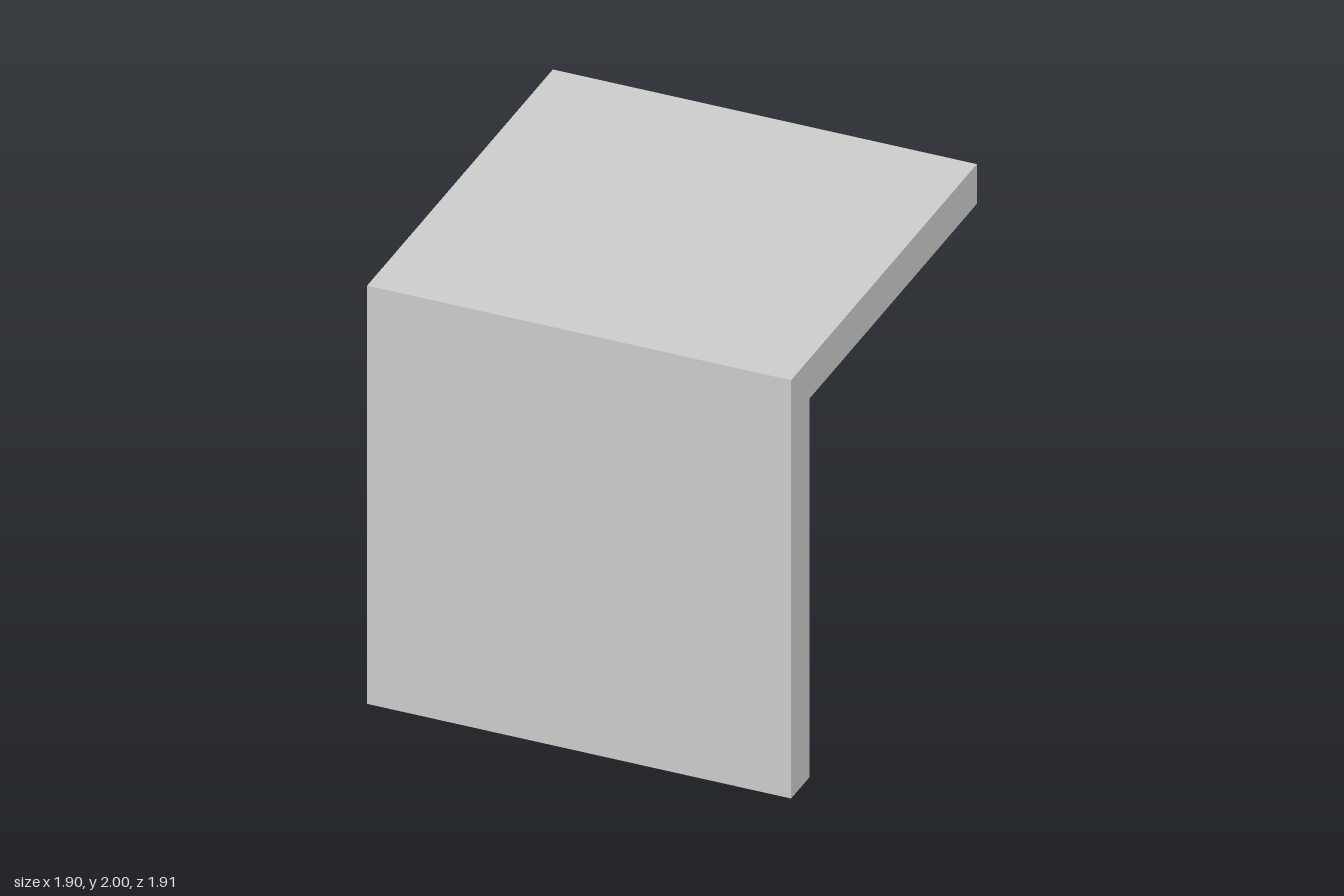
import * as THREE from 'three';

export function createModel() {
  const group = new THREE.Group();
  const lightGrey = new THREE.MeshStandardMaterial({ color: 0xcbcbcb });
  lightGrey.name = 'light grey';
  const darkGrey = new THREE.MeshStandardMaterial({ color: 0x848484 });
  darkGrey.name = 'dark grey';

  const half = 0.952, height = 2, thick = 0.19;

  // L-shaped shell: front panel and top slab in one piece (profile x becomes -z)
  const profile = new THREE.Shape();
  [
    [-half, 0], [-half + thick, 0], [-half + thick, height - thick],
    [half, height - thick], [half, height], [-half, height],
  ].forEach(([x, y], i) => (i ? profile.lineTo(x, y) : profile.moveTo(x, y)));
  profile.closePath();
  const shellGeometry = new THREE.ExtrudeGeometry(profile, { depth: 2 * half, bevelEnabled: false });
  shellGeometry.translate(0, 0, -half).rotateY(Math.PI / 2);
  const shell = new THREE.Mesh(shellGeometry, lightGrey);
  shell.name = 'frontPanelAndTop';
  group.add(shell);

  // Cabinet under the top, flush with the model's right side and a hair proud at the back
  const left = 0.19, back = -half - 0.003, front = half - thick;
  const cabinet = new THREE.Mesh(
    new THREE.BoxGeometry(left + half, height - thick, front - back), darkGrey);
  cabinet.position.set((left - half) / 2, (height - thick) / 2, (front + back) / 2);
  cabinet.name = 'cabinet';
  group.add(cabinet);

  return group;
}
